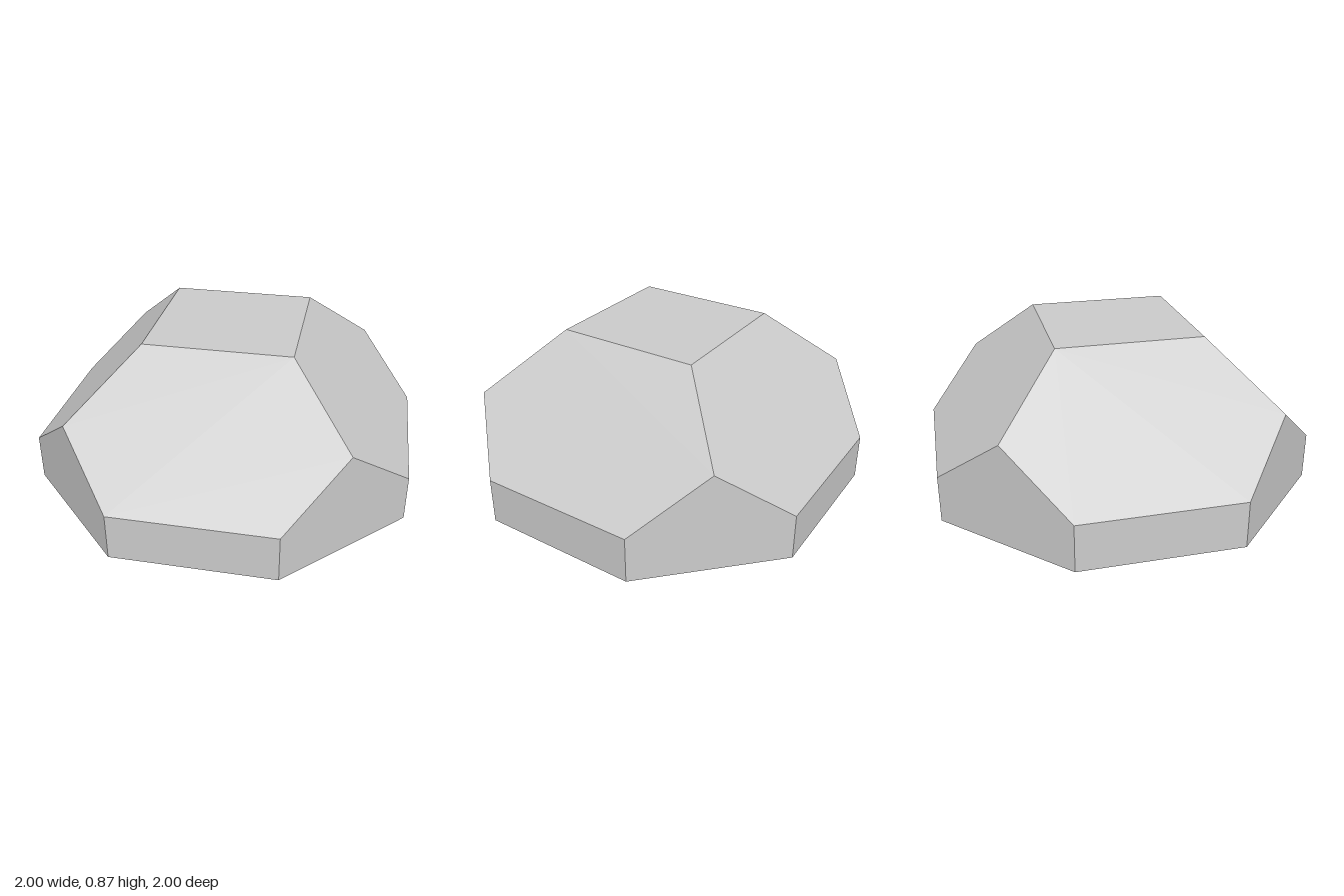
import * as THREE from 'three';
import { ConvexGeometry } from 'three/addons/geometries/ConvexGeometry.js';

export function createModel() {
  const group = new THREE.Group();
  group.name = 'facetedDome';

  const half = 0.42;      // half length of each straight base side
  const wall = 0.25;      // height of the upright rim
  const slope = 1 + wall; // sloped faces satisfy height + outward distance = slope
  const corner = (1 + half) / 2;
  const top = 0.385;

  // Corners of one quadrant, mirrored to all four
  const points = [];
  for (const sx of [-1, 1]) {
    for (const sz of [-1, 1]) {
      const add = (x, y, z) => points.push(new THREE.Vector3(sx * x, y, sz * z));
      for (const y of [0, wall]) {
        add(1, y, half);
        add(half, y, 1);
      }
      add(corner, slope - corner, corner); // peak of the upright corner facet
      add(top, slope - top, top);          // flat square top
    }
  }

  const dome = new THREE.Mesh(
    new ConvexGeometry(points),
    new THREE.MeshStandardMaterial({ color: 0xcccccc, flatShading: true })
  );
  dome.name = 'domeBody';
  group.add(dome);
  return group;
}
